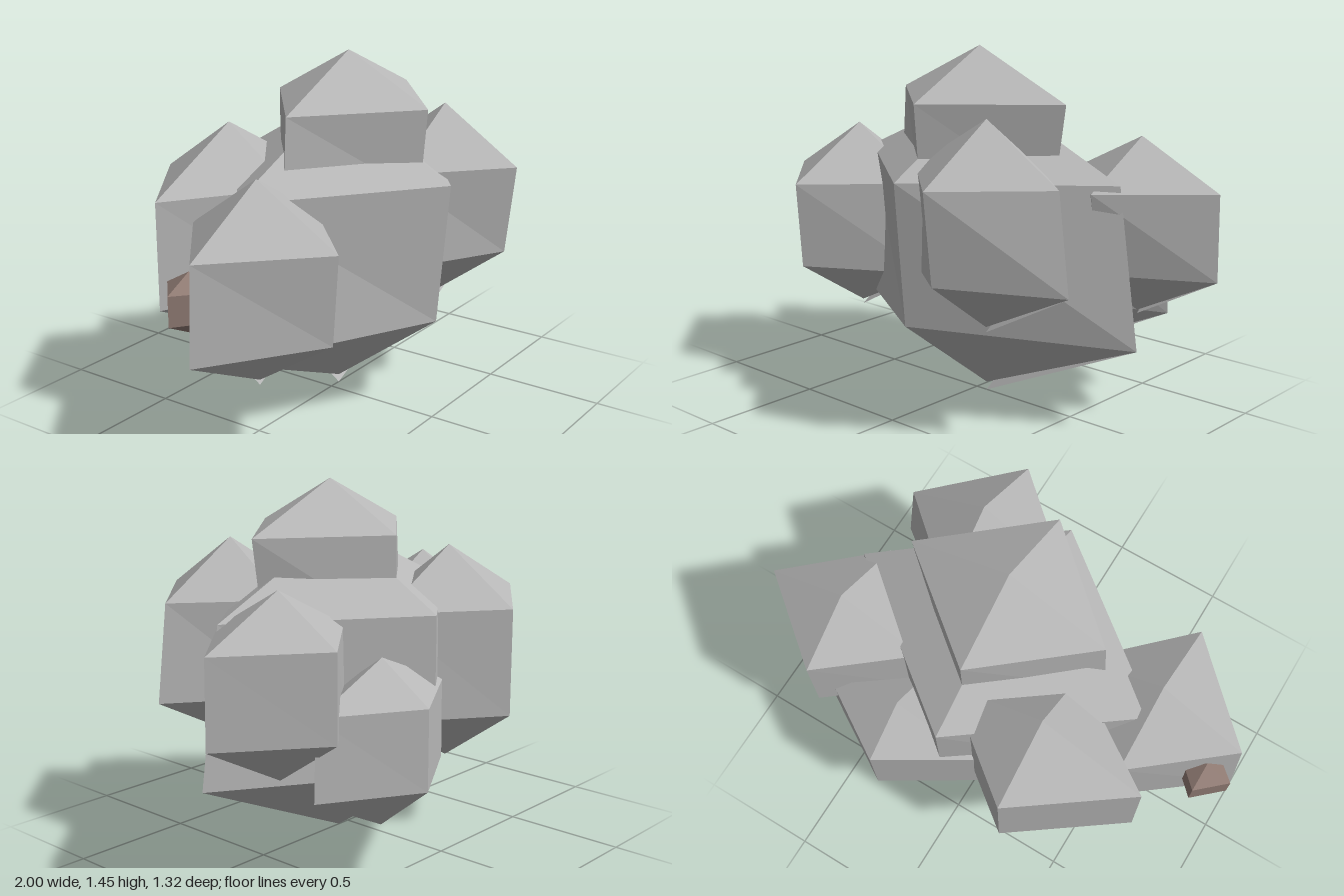
import * as THREE from 'three';

const grey = new THREE.MeshStandardMaterial({ color: 0xb8b8b8, flatShading: true, side: THREE.DoubleSide });
grey.name = 'stone grey';
const brown = new THREE.MeshStandardMaterial({ color: 0x927d75, flatShading: true, side: THREE.DoubleSide });
brown.name = 'dull brown';

// Four-sided faceted boulder: two diamond rings between two points.
// y = [top, upper ring, lower ring, bottom]; rings hold [left, front, right, back] reaches
// measured along -x, +z, +x and -z from the centre.
function boulder(name, material, [cx, cz], y, upper, lower, lift = 0.03) {
  const ring = (reach, h, frontLift) => [
    [cx - reach[0], h, cz],
    [cx, h + frontLift, cz + reach[1]],
    [cx + reach[2], h, cz],
    [cx, h, cz - reach[3]],
  ];
  const up = ring(upper, y[1], 0);
  const low = ring(lower, y[2], lift);
  const top = [cx, y[0], cz];
  const points = [];
  for (let i = 0; i < 4; i++) {
    const j = (i + 1) % 4;
    // the back right facet reaches slightly deeper than the others
    const bottom = [cx, y[3] - (i === 2 ? lift * 0.7 : 0), cz];
    points.push(
      top, up[i], up[j],
      up[j], up[i], low[j],
      up[i], low[i], low[j],
      low[i], bottom, low[j],
    );
  }
  const geometry = new THREE.BufferGeometry();
  geometry.setAttribute('position', new THREE.Float32BufferAttribute(points.flat(), 3));
  geometry.computeVertexNormals();
  const mesh = new THREE.Mesh(geometry, material);
  mesh.name = name;
  return mesh;
}

export function createModel() {
  const group = new THREE.Group();
  group.name = 'boulderCluster';
  group.add(
    // large core with the cap on top
    boulder('core', grey, [0.055, 0], [1.27, 0.97, 0.345, 0.035],
      [0.67, 0.525, 0.66, 0.5], [0.72, 0.475, 0.755, 0.5], 0.05),
    boulder('cap', grey, [0.055, 0.045], [1.45, 1.255, 0.88, 0.7],
      [0.415, 0.37, 0.435, 0.345], [0.44, 0.34, 0.38, 0.345]),
    // front lumps
    boulder('frontRightLump', grey, [-0.6, 0.09], [1.08, 0.86, 0.475, 0.285],
      [0.375, 0.365, 0.37, 0.31], [0.395, 0.34, 0.39, 0.31]),
    boulder('frontLeftLump', grey, [0.34, 0.325], [1.22, 1.0, 0.61, 0.42],
      [0.37, 0.335, 0.345, 0.3], [0.38, 0.295, 0.395, 0.3]),
    // rear and side lumps
    boulder('leftLump', grey, [0.64, -0.24], [1.12, 0.94, 0.6, 0.42],
      [0.35, 0.32, 0.355, 0.285], [0.36, 0.27, 0.36, 0.285], 0.02),
    boulder('lowRearLump', grey, [0.29, -0.43], [0.84, 0.685, 0.365, 0.195],
      [0.37, 0.22, 0.36, 0.225], [0.37, 0.2, 0.37, 0.225], 0.02),
    boulder('rearRightLump', grey, [-0.29, -0.29], [1.18, 0.955, 0.52, 0.31],
      [0.44, 0.3, 0.41, 0.32], [0.44, 0.28, 0.42, 0.32]),
    // small pebble on the side
    boulder('pebble', brown, [-0.88, 0], [0.79, 0.73, 0.612, 0.555],
      [0.115, 0.1, 0.11, 0.105], [0.115, 0.1, 0.11, 0.105], 0.005),
  );
  return group;
}
